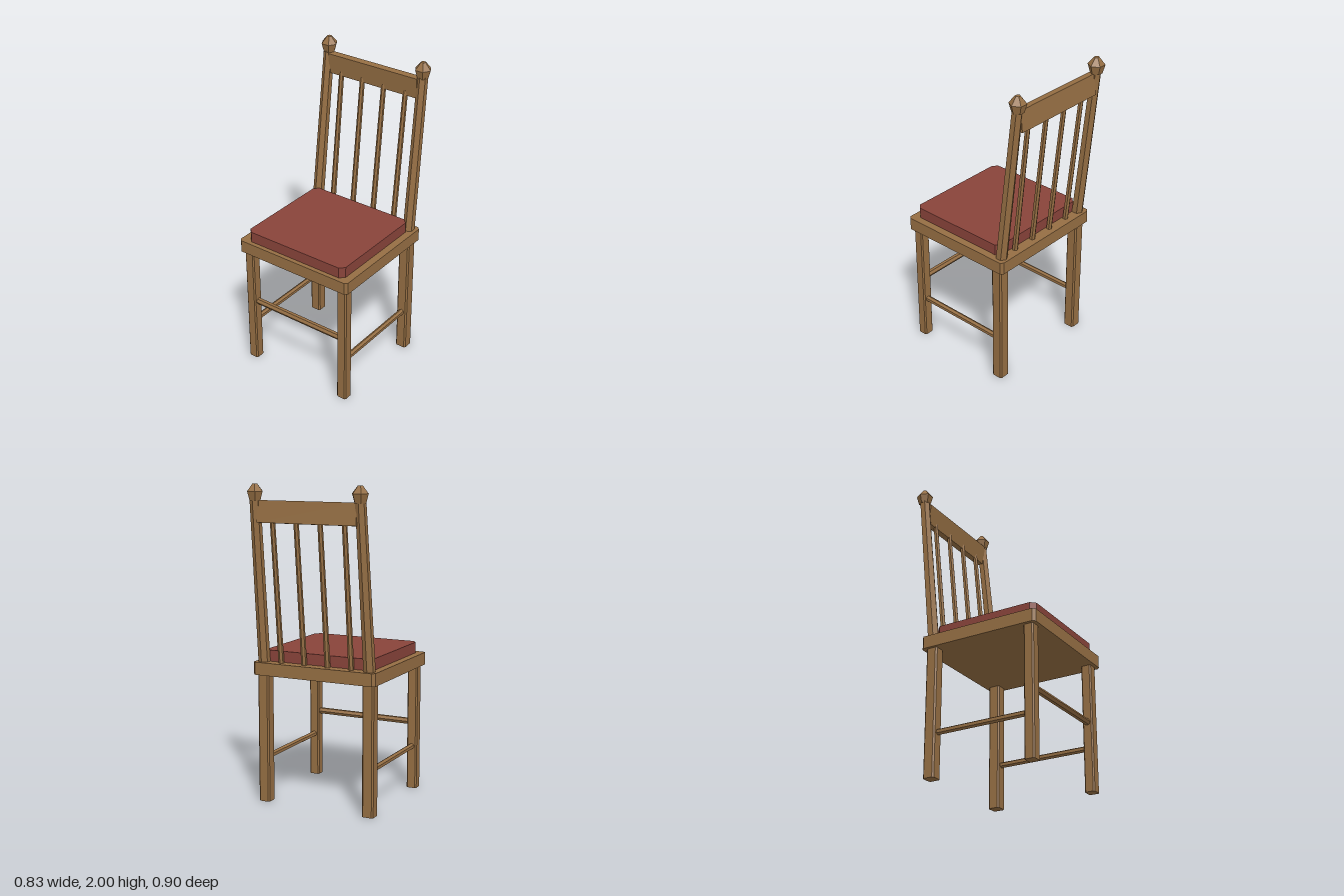
import * as THREE from 'three';

const wood = new THREE.MeshStandardMaterial({ color: 0x956e43 });
wood.name = 'wood';
const red = new THREE.MeshStandardMaterial({ color: 0x88433a });
red.name = 'cushionRed';

// faceted mesh with hard edges
function part(name, geometry, material = wood) {
  const g = geometry.index ? geometry.toNonIndexed() : geometry;
  g.computeVertexNormals();
  const mesh = new THREE.Mesh(g, material);
  mesh.name = name;
  return mesh;
}

// upright block with chamfered vertical corners, standing on y0
function block(name, w, d, y0, y1, c, x, z, material) {
  const a = w / 2, b = d / 2;
  const shape = new THREE.Shape([
    [a, -b + c], [a, b - c], [a - c, b], [-a + c, b],
    [-a, b - c], [-a, -b + c], [-a + c, -b], [a - c, -b],
  ].map(([px, py]) => new THREE.Vector2(px, py)));
  const g = new THREE.ExtrudeGeometry(shape, { depth: y1 - y0, bevelEnabled: false });
  g.rotateX(-Math.PI / 2).translate(x, y0, z);
  return part(name, g, material);
}

// six-sided rod between two points
function rod(name, from, to, r0, r1) {
  const a = new THREE.Vector3(...from), b = new THREE.Vector3(...to);
  const dir = b.clone().sub(a);
  const mesh = part(name, new THREE.CylinderGeometry(r1, r0, dir.length(), 6));
  mesh.position.copy(a).add(b).multiplyScalar(0.5);
  mesh.quaternion.setFromUnitVectors(new THREE.Vector3(0, 1, 0), dir.normalize());
  return mesh;
}

export function createModel() {
  const chair = new THREE.Group();
  chair.name = 'chair';

  // seat and cushion
  chair.add(block('seat', 0.832, 0.796, 0.82, 0.9, 0.017, 0, 0.052));
  chair.add(block('cushion', 0.736, 0.697, 0.9, 0.97, 0.03, 0, 0.073, red));

  for (const s of [-1, 1]) {
    const side = s > 0 ? 'left' : 'right';
    // legs and side stretcher
    chair.add(block(side + 'FrontLeg', 0.068, 0.066, 0, 0.82, 0.008, s * 0.36, 0.393));
    chair.add(block(side + 'BackLeg', 0.075, 0.075, 0, 0.82, 0.009, s * 0.36, -0.282));
    chair.add(rod(side + 'Stretcher', [s * 0.36, 0.283, -0.26], [s * 0.36, 0.283, 0.37], 0.019, 0.019));

    // leaning back post with a faceted finial
    chair.add(rod(side + 'BackPost', [s * 0.361, 0.89, -0.294], [s * 0.35, 1.92, -0.404], 0.037, 0.033));
    const profile = [[0, 1.9], [0.037, 1.9], [0.053, 1.955], [0.016, 2], [0, 2]]
      .map(([r, y]) => new THREE.Vector2(r, y));
    const finial = part(side + 'Finial', new THREE.LatheGeometry(profile, 6));
    finial.rotation.y = Math.PI / 6;
    finial.position.set(s * 0.349, 0, -0.405);
    chair.add(finial);
  }

  // front stretcher
  chair.add(rod('frontStretcher', [-0.335, 0.442, 0.393], [0.335, 0.442, 0.393], 0.021, 0.021));

  // top rail
  const rail = part('topRail', new THREE.BoxGeometry(0.66, 0.134, 0.044));
  rail.position.set(0, 1.834, -0.395);
  rail.rotation.x = 0.105;
  chair.add(rail);

  // back spindles
  for (let i = 0; i < 4; i++) {
    const x = -0.24 + i * 0.16;
    chair.add(rod('spindle' + (i + 1), [x, 0.89, -0.294], [x, 1.795, -0.389], 0.018, 0.016));
  }
  return chair;
}
